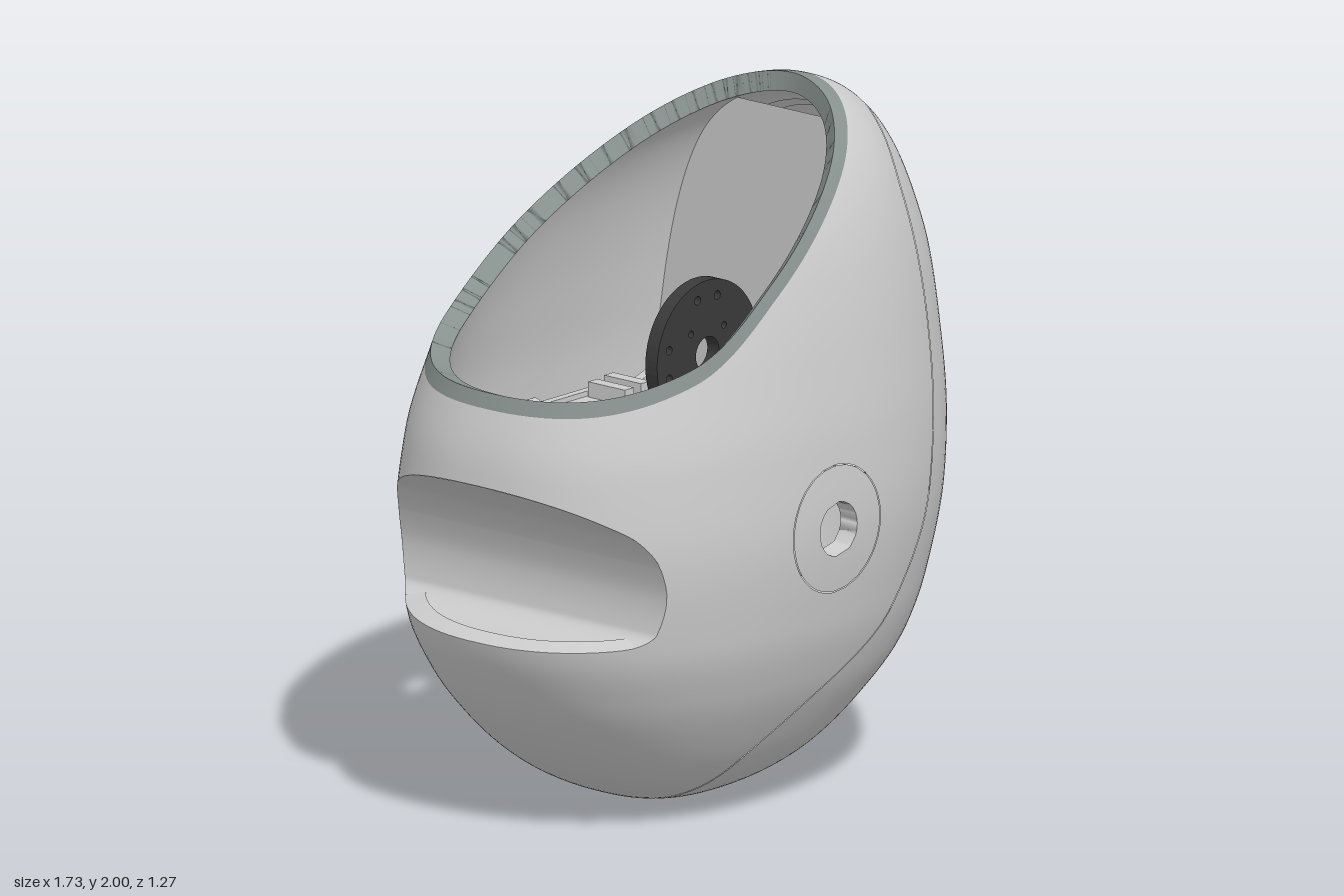
import * as THREE from 'three';
import { mergeVertices } from 'three/addons/utils/BufferGeometryUtils.js';

const grey = new THREE.MeshStandardMaterial({ color: 0xcccccc });
const greyThin = new THREE.MeshStandardMaterial({ color: 0xcccccc, side: THREE.DoubleSide });
const trim = new THREE.MeshStandardMaterial({ color: 0x87918e, side: THREE.DoubleSide });
const dark = new THREE.MeshStandardMaterial({ color: 0x3a3a3a, side: THREE.DoubleSide });

// Smooth curve without overshoot through [input, output] keys
function curve(keys) {
  const k = keys.length - 1;
  const sec = i => (keys[i + 1][1] - keys[i][1]) / (keys[i + 1][0] - keys[i][0]);
  const slope = i => {
    if (i === 0) return sec(0);
    if (i === k) return sec(k - 1);
    const a = sec(i - 1), b = sec(i);
    return a * b <= 0 ? 0 : (2 * a * b) / (a + b);
  };
  const m = keys.map((_, i) => slope(i));
  return x => {
    if (x <= keys[0][0]) return keys[0][1] + m[0] * (x - keys[0][0]);
    if (x >= keys[k][0]) return keys[k][1] + m[k] * (x - keys[k][0]);
    let i = 0;
    while (x > keys[i + 1][0]) i++;
    const h = keys[i + 1][0] - keys[i][0], t = (x - keys[i][0]) / h, s = 1 - t;
    return keys[i][1] * (1 + 2 * t) * s * s + keys[i + 1][1] * t * t * (3 - 2 * t)
      + h * t * s * (m[i] * s - m[i + 1] * t);
  };
}

// Egg cross-sections: height, back x, front x, half width
const rows = [
  [0, -0.1, -0.1, 0], [0.04, -0.31, 0.15, 0.22], [0.14, -0.5, 0.39, 0.38], [0.27, -0.65, 0.57, 0.48],
  [0.42, -0.77, 0.71, 0.56], [0.59, -0.85, 0.785, 0.61], [0.87, -0.885, 0.855, 0.638],
  [1.1, -0.86, 0.875, 0.62], [1.34, -0.775, 0.865, 0.575], [1.5, -0.7, 0.85, 0.535],
  [1.66, -0.57, 0.81, 0.48], [1.82, -0.33, 0.75, 0.385], [1.94, 0, 0.66, 0.24], [2, 0.48, 0.48, 0]];
const phi = y => Math.acos(Math.min(1, Math.max(-1, 1 - y)));
const [backOf, frontOf, widthOf] = [1, 2, 3].map(c => curve(rows.map(r => [phi(r[0]), r[c]])));
const N = 2.3;
function eggPoint(f, a, d) {
  const b = backOf(f), e = frontOf(f), c = Math.cos(a), s = Math.sin(a);
  const pw = v => Math.sign(v) * Math.pow(Math.abs(v), 2 / N);
  return new THREE.Vector3((b + e) / 2 + (e - b) / 2 * (1 - d / 0.8) * pw(c),
    0.95 + (1 - Math.cos(f) - 0.95) * (1 - d), widthOf(f) * (1 - d / 0.6) * pw(s));
}
function halfWidth(x, y) {
  const f = phi(y), b = backOf(f), e = frontOf(f);
  const u = Math.abs((x - (b + e) / 2) / ((e - b) / 2 || 1));
  return widthOf(f) * Math.pow(Math.max(0, 1 - Math.pow(u, N)), 1 / N);
}

// Keep the side of a triangle list where f > 0; also returns the cut edges
function clip(tris, f) {
  const kept = [], cuts = [];
  const cross = (a, b) => {
    let lo = 0, hi = 1;
    const sign = f(a.p) > 0;
    for (let i = 0; i < 14; i++) {
      const t = (lo + hi) / 2;
      if ((f(a.p.clone().lerp(b.p, t)) > 0) === sign) lo = t; else hi = t;
    }
    return { p: a.p.clone().lerp(b.p, lo), q: a.q.clone().lerp(b.q, lo) };
  };
  for (const tri of tris) {
    const inside = tri.map(v => f(v.p) > 0);
    if (inside.every(Boolean)) { kept.push(tri); continue; }
    if (!inside.some(Boolean)) continue;
    const poly = [], edge = [];
    tri.forEach((v, i) => {
      const j = (i + 1) % 3;
      if (inside[i]) poly.push(v);
      if (inside[i] !== inside[j]) {
        const c = inside[i] ? cross(v, tri[j]) : cross(tri[j], v);
        poly.push(c);
        edge.push(c);
      }
    });
    for (let i = 1; i < poly.length - 1; i++) kept.push([poly[0], poly[i], poly[i + 1]]);
    cuts.push(edge);
  }
  return { kept, cuts };
}
const keep = (tris, ...tests) => tests.reduce((t, f) => clip(t, f).kept, tris);

// Triangle list from a grid; p is the outer point and q the inner one
function grid(nu, nv, outer, inner = outer) {
  const v = [], tris = [];
  for (let i = 0; i <= nu; i++)
    for (let j = 0; j <= nv; j++) v.push({ p: outer(i / nu, j / nv), q: inner(i / nu, j / nv) });
  for (let i = 0; i < nu; i++)
    for (let j = 0; j < nv; j++) {
      const a = i * (nv + 1) + j, b = a + nv + 1;
      tris.push([v[a], v[b], v[a + 1]], [v[a + 1], v[b], v[b + 1]]);
    }
  return tris;
}

export function createModel() {
  const model = new THREE.Group();
  const add = (name, geo, mat, x = 0, y = 0, z = 0) => {
    const m = new THREE.Mesh(geo, mat);
    m.name = name;
    m.position.set(x, y, z);
    model.add(m);
    return m;
  };
  const surface = (name, tris, mat, key = 'p') => {
    const pts = tris.flatMap(t => (key === 'p' ? t : [t[0], t[2], t[1]]).map(v => v[key]));
    const geo = mergeVertices(new THREE.BufferGeometry().setFromPoints(pts), 1e-5);
    geo.computeVertexNormals();
    return add(name, geo, mat);
  };
  const wall = (name, cuts, mat) => surface(name,
    cuts.flatMap(([a, b]) => [[{ p: a.p }, { p: b.p }, { p: b.q }], [{ p: a.p }, { p: b.q }, { p: a.q }]]), mat);

  // Cutting curves, all running straight across the width
  const rimY = curve([[-1, 1.305], [-0.78, 1.315], [-0.46, 1.395], [-0.12, 1.6], [0.51, 2], [1.2, 2.44]]);
  const frontX = curve([[0.75, 1], [0.76, 0.83], [0.775, 0.75], [0.8, 0.695], [0.85, 0.675], [0.95, 0.67],
    [1.08, 0.705], [1.347, 0.866], [1.6, 1.02]]);
  const backX = curve([[0.58, -1], [0.592, -0.85], [0.615, -0.66], [0.65, -0.615], [0.75, -0.6],
    [0.85, -0.62], [0.93, -0.67], [0.99, -0.75], [1.06, -0.865], [1.13, -1]]);
  const seamX = curve([[0, -0.25], [0.175, -0.185], [0.335, -0.03], [0.555, 0.275], [0.865, 0.46],
    [1.395, 0.545], [1.71, 0.55], [1.845, 0.59], [1.945, 0.66], [2.05, 0.8]]);
  const opening = p => rimY(p.x) - p.y;
  const radius = p => Math.hypot(p.x + 0.01, p.y - 0.87);
  const seam = p => p.x - seamX(p.y);

  // Hollow egg with its openings
  const egg = d => (u, v) => eggPoint(u * Math.PI, v * Math.PI * 2, d);
  let tris = grid(96, 128, egg(0), egg(0.055));
  const cutters = [['rimEdge', opening, trim], ['frontNotchEdge', p => frontX(p.y) - p.x, greyThin],
    ['backNotchEdge', p => p.x - backX(p.y), greyThin], ['sideHoleEdge', p => radius(p) - 0.08, greyThin]];
  for (const [name, f, mat] of cutters) {
    const r = clip(tris, f);
    tris = r.kept;
    wall(name, r.cuts, mat);
  }
  surface('innerShell', tris, grey, 'q');
  surface('rimBand', keep(tris, p => 0.042 - opening(p)), trim);
  const skin = keep(tris, p => opening(p) - 0.042);
  surface('sideDiscs', keep(skin, p => 0.185 - radius(p)), grey);
  const panels = keep(skin, p => radius(p) - 0.188);
  surface('rearPanel', keep(panels, p => -0.002 - seam(p)), grey);
  surface('facePanel', keep(panels, p => seam(p) - 0.002), grey);

  // Raised strip inside, following the seam
  const strip = grid(96, 128, egg(0.07));
  surface('innerSeamStrip', keep(strip, p => opening(p) - 0.03, p => 0.025 - Math.abs(seam(p)),
    p => frontX(p.y) - 0.05 - p.x), greyThin);

  // Curved panes that close the two notches
  const pane = (xOf, y0, y1) => grid(60, 32, (u, v) => {
    const y = y0 + (y1 - y0) * Math.pow(u, 1.5), x = xOf(y);
    return new THREE.Vector3(x, y, (v * 2 - 1) * halfWidth(x, y));
  });
  const slot = p => Math.hypot(Math.max(0, Math.abs(p.z) - 0.313), p.y - 0.838) - 0.067;
  surface('frontPane', keep(pane(frontX, 0.76, 1.347), slot), dark);
  surface('backPane', pane(backX, 0.592, 1.06), greyThin);

  // Flat bulkheads inside, trimmed to the shell
  const flat = (name, at) => surface(name, grid(20, 16, (u, v) => {
    const [x, y] = at(u);
    return new THREE.Vector3(x, y, (v * 2 - 1) * halfWidth(x, y) * 0.93);
  }), greyThin);
  flat('frontBulkhead', u => [0.475, 0.95 + 0.95 * u]);
  flat('backBulkhead', u => [-0.485, 0.45 + 0.65 * u]);
  flat('backShelf', u => [-0.8 + 0.315 * u, 1.1]);

  // Bosses around the side holes, on the inside
  for (const s of [-1, 1]) {
    const boss = add('sideBoss', new THREE.TorusGeometry(0.14, 0.02, 8, 48), grey, -0.01, 0.87, s * 0.575);
    boss.scale.z = 0.6;
  }

  // Central bracket with lever and pins
  const box = (name, w, h, d, mat, x, y, z) => add(name, new THREE.BoxGeometry(w, h, d), mat, x, y, z);
  for (const s of [-1, 1]) {
    box('bracketRail', 0.26, 0.05, 0.025, grey, -0.355, 1.18, s * 0.09);
    const pin = add('bracketPin', new THREE.CylinderGeometry(0.025, 0.025, 0.05, 20), grey, -0.46, 1.18, s * 0.14);
    pin.rotation.z = Math.PI / 2;
  }
  box('bracketPlate', 0.17, 0.04, 0.16, grey, -0.31, 1.17, 0);
  box('bracketLatch', 0.04, 0.05, 0.14, grey, -0.27, 1.21, 0);
  box('leverMount', 0.04, 0.08, 0.14, grey, -0.2, 1.2, 0);
  box('lever', 0.11, 0.025, 0.03, grey, -0.14, 1.22, 0).rotation.z = 0.3;

  // Perforated wheel on its stem
  const wheel = new THREE.Shape().absarc(0, 0, 0.217, 0, Math.PI * 2);
  const hole = (x, y, r) => wheel.holes.push(new THREE.Path().absarc(x, y, r, 0, Math.PI * 2, true));
  hole(0, 0, 0.05);
  for (let i = 0; i < 4; i++) {
    const a = i * Math.PI / 2;
    for (const da of [-0.25, 0.25]) hole(0.17 * Math.cos(a + da), 0.17 * Math.sin(a + da), 0.013);
    hole(0.1 * Math.cos(a + 0.78), 0.1 * Math.sin(a + 0.78), 0.01);
  }
  add('wheel', new THREE.ExtrudeGeometry(wheel, { depth: 0.045, bevelEnabled: false, curveSegments: 32 }),
    dark, -0.262, 1.39, 0.315);
  box('wheelStem', 0.06, 0.24, 0.03, dark, -0.262, 1.08, 0.335);
  box('wheelClamp', 0.065, 0.1, 0.03, dark, -0.262, 1.15, 0.3);
  return model;
}
